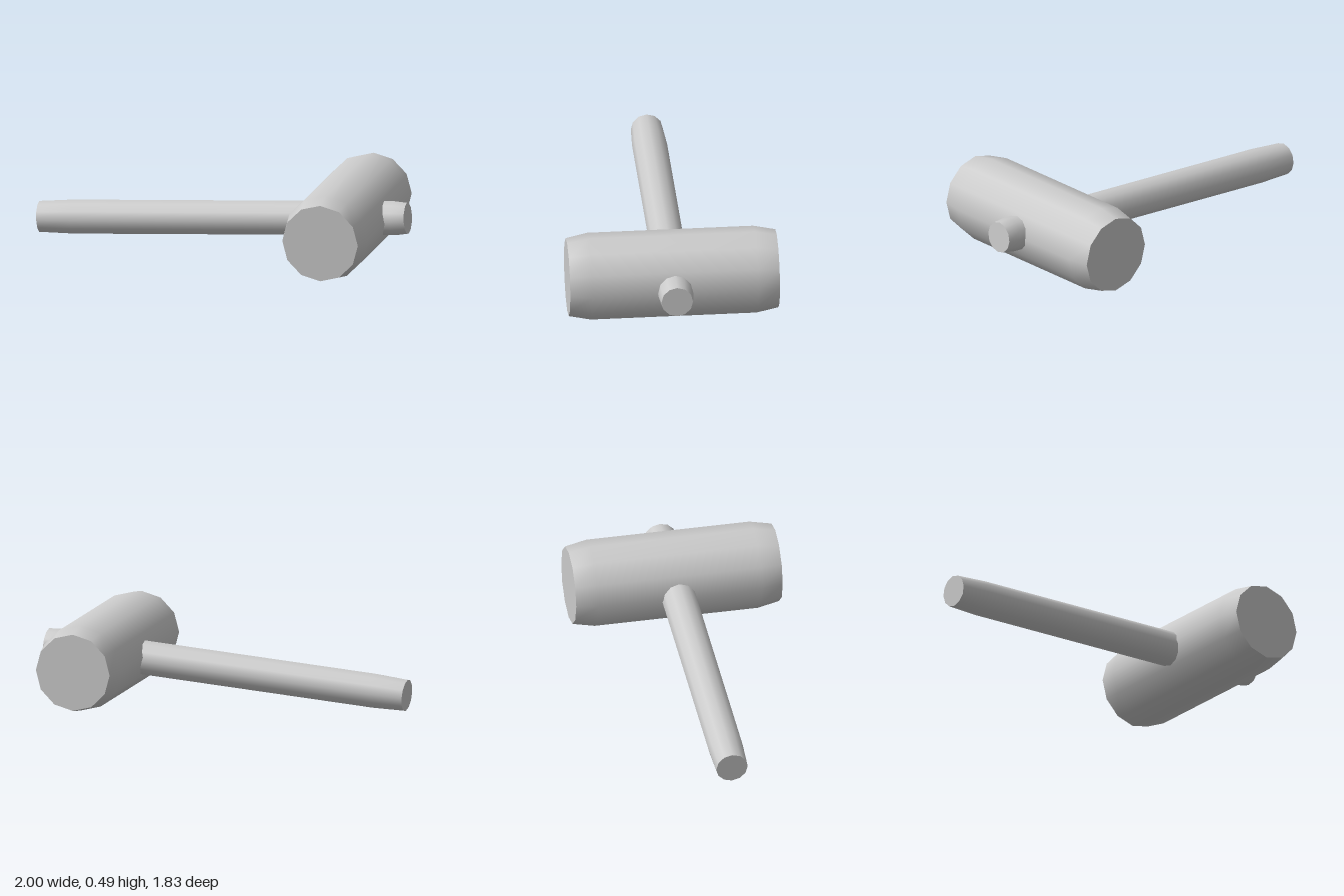
import * as THREE from 'three';
import { mergeGeometries } from 'three/addons/utils/BufferGeometryUtils.js';

const SIDES = 12;

// Smooth turned bar with flat ends, running from point a to point b.
// Profile rows are [radius, distance along the bar].
function turnedBar(name, a, b, profile, material) {
  const length = a.distanceTo(b);
  const points = profile.map(([r, d]) => new THREE.Vector2(r, d));
  const side = new THREE.LatheGeometry(points, SIDES);
  const startCap = new THREE.CircleGeometry(profile[0][0], SIDES).rotateX(Math.PI / 2);
  const endCap = new THREE.CircleGeometry(profile.at(-1)[0], SIDES)
    .rotateX(-Math.PI / 2).translate(0, length, 0);
  const geometry = mergeGeometries([side, startCap, endCap]).rotateX(Math.PI / 2);
  const mesh = new THREE.Mesh(geometry, material);
  mesh.name = name;
  mesh.position.copy(a);
  mesh.lookAt(b);
  return mesh;
}

export function createModel() {
  const group = new THREE.Group();
  group.name = 'mallet';
  const material = new THREE.MeshStandardMaterial({ color: 0xcccccc });

  // Head: lies flat on the ground, with chamfered ends
  const headBack = new THREE.Vector3(0.06, 0.245, -0.775);
  const headFront = new THREE.Vector3(0.83, 0.245, 0.14);
  const headLength = headBack.distanceTo(headFront);
  group.add(turnedBar('head', headBack, headFront, [
    [0.222, 0],
    [0.247, 0.125],
    [0.247, headLength - 0.125],
    [0.222, headLength],
  ], material));

  // Handle: passes through the head and dips towards its grip end
  const gripEnd = new THREE.Vector3(-0.94, 0.122, 0.84);
  const tipEnd = new THREE.Vector3(0.718, 0.262, -0.548);
  const handleLength = gripEnd.distanceTo(tipEnd);
  group.add(turnedBar('handle', gripEnd, tipEnd, [
    [0.091, 0],
    [0.1, 0.2],
    [0.1, handleLength - 0.08],
    [0.09, handleLength],
  ], material));

  return group;
}
